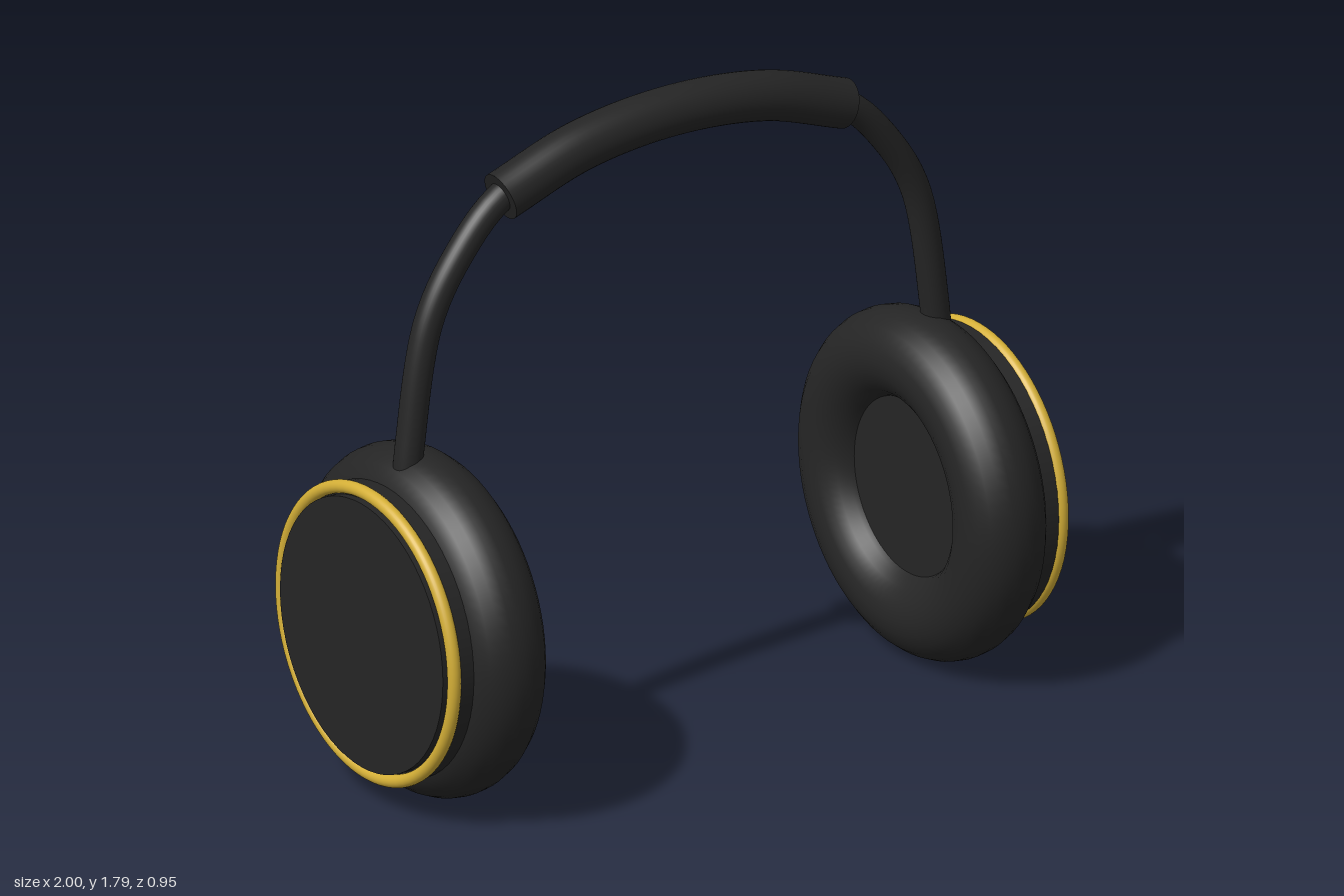
import * as THREE from 'three';

const CUP_Y = 0.478;
const OFFSET_X = -0.0215;

export function createModel() {
  const model = new THREE.Group();
  model.name = 'headphones';

  const black = new THREE.MeshStandardMaterial({ color: 0x252525 });
  black.name = 'charcoal';
  const gold = new THREE.MeshStandardMaterial({ color: 0xd4af37 });
  gold.name = 'gold';
  const dark = new THREE.MeshStandardMaterial({ color: 0x111111 });
  dark.name = 'nearBlack';

  const body = new THREE.Group();
  body.name = 'body';
  body.position.x = OFFSET_X;
  model.add(body);

  const add = (parent, name, geometry, material) => {
    const mesh = new THREE.Mesh(geometry, material);
    mesh.name = name;
    parent.add(mesh);
    return mesh;
  };
  // cylinder along x between two positions
  const disc = (x0, x1, r0, r1, segments = 64) =>
    new THREE.CylinderGeometry(r1, r0, x1 - x0, segments)
      .rotateZ(-Math.PI / 2).translate((x0 + x1) / 2, 0, 0);
  const ring = (x, radius, tube) =>
    new THREE.TorusGeometry(radius, tube, 24, 80).rotateY(Math.PI / 2).translate(x, 0, 0);

  // ear cups, outer side facing +x, the second one turned round
  const makeCup = (name) => {
    const cup = new THREE.Group();
    cup.name = name;
    cup.position.y = CUP_Y;
    add(cup, 'cushion', ring(0.7885, 0.353, 0.122), black);
    add(cup, 'speakerCover', disc(0.741, 0.80, 0.27, 0.27), black);
    add(cup, 'shell', disc(0.80, 0.957, 0.395, 0.403), black);
    add(cup, 'outerPanel', disc(0.95, 0.9785, 0.372, 0.372), black);
    add(cup, 'trimRing', ring(0.957, 0.393, 0.018), gold);
    body.add(cup);
    return cup;
  };
  const leftCup = makeCup('leftCup');
  makeCup('rightCup').rotation.y = Math.PI;

  // controls on the left cup
  add(leftCup, 'volumeKnob', disc(0.97, 1.0215, 0.07, 0.07, 32), gold)
    .position.set(0, 0.355 - CUP_Y, 0.203);
  add(leftCup, 'button', new THREE.BoxGeometry(0.03, 0.09, 0.04), gold)
    .position.set(0.983, 0.585 - CUP_Y, 0.216);
  add(leftCup, 'microphone', new THREE.SphereGeometry(0.013, 16, 12), dark)
    .position.set(0.99, 0.657 - CUP_Y, 0.14);

  // tube along a mirrored half profile, closed by flat end caps
  const archTube = (name, half, radius, segments) => {
    const points = [
      ...half.map(([x, y]) => new THREE.Vector3(-x, y, 0)),
      new THREE.Vector3(0, 1.722, 0),
      ...half.slice().reverse().map(([x, y]) => new THREE.Vector3(x, y, 0)),
    ];
    const curve = new THREE.CatmullRomCurve3(points);
    const group = new THREE.Group();
    group.name = name;
    add(group, name + 'Tube', new THREE.TubeGeometry(curve, segments, radius, 32), black);
    for (const t of [0, 1]) {
      const cap = add(group, name + 'Cap', new THREE.CircleGeometry(radius, 32), black);
      const outward = curve.getTangentAt(t).multiplyScalar(t ? 1 : -1);
      cap.position.copy(curve.getPointAt(t));
      cap.quaternion.setFromUnitVectors(new THREE.Vector3(0, 0, 1), outward);
    }
    body.add(group);
  };

  // headband and its padded sleeve
  const crown = [[0.54, 1.61], [0.29, 1.693]];
  archTube('headband',
    [[0.838, 0.85], [0.826, 0.98], [0.768, 1.31], [0.675, 1.475], ...crown], 0.039, 80);
  archTube('headPad', crown, 0.067, 32);

  return model;
}
